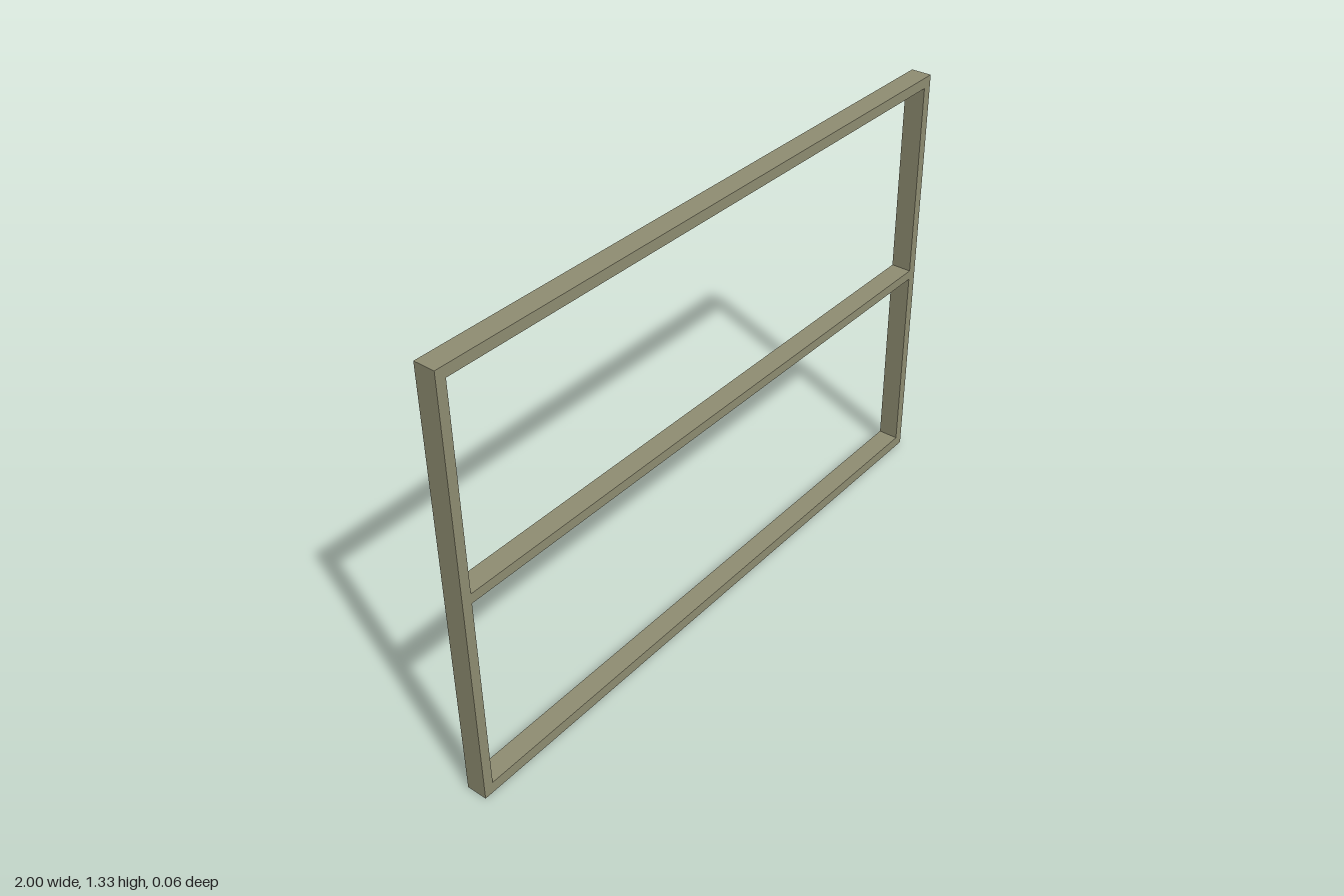
import * as THREE from 'three';

const W = 1, H = 1.333, D = 0.032;   // half width, height, half depth
const IN = 0.97;                     // half width of the openings
const OPENINGS = [[0.035, 0.655], [0.685, 1.3]]; // bottom and top of each

const material = new THREE.MeshStandardMaterial({
  color: 0x8f8d72, side: THREE.DoubleSide, flatShading: true,
});

// Corners of a rectangle, counter-clockwise seen from the front
const rect = (hw, y0, y1) => [[-hw, y0], [hw, y0], [hw, y1], [-hw, y1]]
  .map(([x, y]) => new THREE.Vector2(x, y));

// Thin wall running from front to back along a closed outline
function wall(points, name) {
  const pos = [];
  points.forEach((a, i) => {
    const b = points[(i + 1) % points.length];
    pos.push(a.x, a.y, D, a.x, a.y, -D, b.x, b.y, -D);
    pos.push(a.x, a.y, D, b.x, b.y, -D, b.x, b.y, D);
  });
  const geometry = new THREE.BufferGeometry();
  geometry.setAttribute('position', new THREE.Float32BufferAttribute(pos, 3));
  geometry.computeVertexNormals();
  const mesh = new THREE.Mesh(geometry, material);
  mesh.name = name;
  return mesh;
}

export function createModel() {
  const group = new THREE.Group();
  group.name = 'windowFrame';

  // Front face of stiles and rails; the profile is hollow and open at the back
  const outline = rect(W, 0, H);
  const shape = new THREE.Shape(outline);
  const holes = OPENINGS.map(([y0, y1]) => rect(IN, y0, y1).reverse());
  holes.forEach((h) => shape.holes.push(new THREE.Path(h)));
  const face = new THREE.Mesh(new THREE.ShapeGeometry(shape).translate(0, 0, D), material);
  face.name = 'frontFace';
  group.add(face);

  // Outer edge and the edges of both openings
  group.add(wall(outline, 'outerEdge'));
  holes.forEach((h, i) => group.add(wall(h, i ? 'upperOpeningEdge' : 'lowerOpeningEdge')));

  return group;
}
